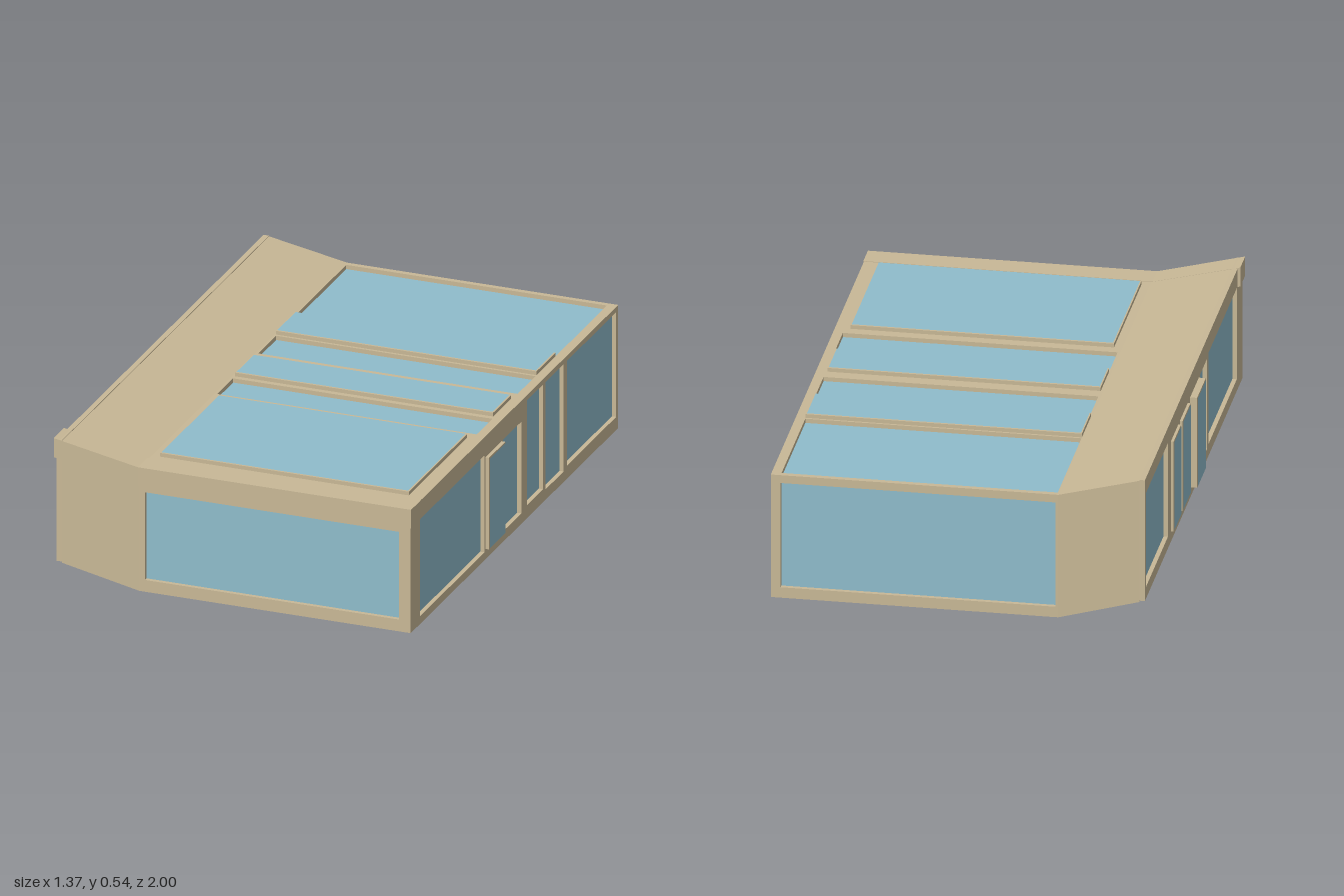
import * as THREE from 'three';

const D = 0.02; // wall thickness, also the depth of the window recesses
const wallMat = new THREE.MeshStandardMaterial({ color: 0xc8b896 });
const glassMat = new THREE.MeshStandardMaterial({ color: 0x8fbccb });

function add(parent, name, geo, mat, x = 0, y = 0, z = 0) {
  const m = new THREE.Mesh(geo, mat);
  m.name = name;
  m.position.set(x, y, z);
  parent.add(m);
  return m;
}

const rect = (C, [a, b, c, d]) =>
  new C([[a, c], [b, c], [b, d], [a, d]].map(p => new THREE.Vector2(...p)));

// Solid through rectangular sections along x: each is [x, yLow, yHigh, zBack, zFront]
function loft(sections) {
  const rings = sections.map(([x, y0, y1, z0, z1]) =>
    [[x, y0, z0], [x, y0, z1], [x, y1, z1], [x, y1, z0]]);
  const pos = [];
  const quad = (a, b, c, d) => pos.push(...a, ...b, ...c, ...a, ...c, ...d);
  for (let i = 0; i + 1 < rings.length; i++) {
    for (let k = 0; k < 4; k++) {
      const n = (k + 1) % 4;
      quad(rings[i][k], rings[i + 1][k], rings[i + 1][n], rings[i][n]);
    }
  }
  const [a, b, c, d] = rings[0];
  quad(a, b, c, d);
  const [e, f, g, h] = rings[rings.length - 1];
  quad(h, g, f, e);
  const geo = new THREE.BufferGeometry();
  geo.setAttribute('position', new THREE.Float32BufferAttribute(pos, 3));
  geo.computeVertexNormals();
  return geo;
}

// Flat wall with windows [u0, u1, v0, v1, raise]; those with a raise stand proud, the rest are recessed
function wall(name, outline, windows) {
  const g = new THREE.Group();
  g.name = name;
  const shape = rect(THREE.Shape, outline);
  for (const [u0, u1, v0, v1, raise] of windows) {
    const w = u1 - u0, h = v1 - v0, cu = (u0 + u1) / 2, cv = (v0 + v1) / 2;
    if (raise) {
      add(g, 'raisedFrame', new THREE.BoxGeometry(w, h, raise + 0.01), wallMat, cu, cv, raise / 2 - 0.005);
      add(g, 'raisedPane', new THREE.PlaneGeometry(w - 0.008, h - 0.008), glassMat, cu, cv, raise + 0.002);
    } else {
      shape.holes.push(rect(THREE.Path, [u0, u1, v0, v1]));
      add(g, 'pane', new THREE.PlaneGeometry(w, h), glassMat, cu, cv, 0.004 - D);
    }
  }
  const geo = new THREE.ExtrudeGeometry(shape, { depth: D, bevelEnabled: false });
  add(g, name + 'Panel', geo, wallMat, 0, 0, -D);
  return g;
}

export function createModel() {
  const model = new THREE.Group();
  model.name = 'building';

  // Solid core and the upswept side wing
  add(model, 'core', loft([[-0.355, 0, 0.45, -0.98, 0.955], [0.65, 0, 0.45, -0.98, 0.955]]), wallMat);
  add(model, 'wing', loft([
    [-0.64, 0.07, 0.535, -0.976, 0.994],
    [-0.355, 0, 0.47, -1, 0.975],
  ]), wallMat);

  // Front and back walls, one wide window each
  const front = wall('frontWall', [-0.355, 0.67, 0, 0.47], [[-0.335, 0.625, 0.045, 0.38]]);
  front.position.z = 0.975;

  const back = wall('backWall', [-0.67, 0.355, 0, 0.47], [[-0.635, 0.345, 0.04, 0.44]]);
  back.rotation.y = Math.PI;
  back.position.z = -1;

  // Long wall on the straight side, u runs towards the back
  const side = wall('windowWall', [-0.975, 1, 0, 0.47], [
    [-0.885, -0.272, 0.03, 0.4],
    [-0.265, -0.11, 0.04, 0.39, 0.014],
    [-0.097, 0.077, 0.04, 0.39],
    [0.13, 0.285, 0.05, 0.45],
    [0.31, 0.48, 0.04, 0.455],
    [0.51, 0.98, 0.05, 0.45],
  ]);
  side.rotation.y = Math.PI / 2;
  side.position.x = 0.67;

  // Outer wall of the wing, u runs towards the front
  const wingWall = wall('wingWall', [-0.975, 0.995, 0.075, 0.538], [
    [-0.95, -0.51, 0.12, 0.48],
    [-0.45, -0.3, 0.115, 0.46, 0.01],
    [-0.27, -0.11, 0.115, 0.46, 0.01],
    [-0.06, 0.115, 0.115, 0.46, 0.025],
    [0.135, 0.285, 0.115, 0.46],
    [0.315, 0.885, 0.12, 0.47],
  ]);
  wingWall.rotation.y = -Math.PI / 2;
  wingWall.position.x = -0.66;

  // Flat roof with skylights, v runs towards the back
  const roof = wall('roof', [-0.355, 0.67, -0.975, 1], [
    [-0.35, 0.635, 0.5, 0.99],
    [-0.35, 0.635, 0.31, 0.492, 0.014],
    [-0.345, 0.635, 0.13, 0.3],
    [-0.345, 0.63, -0.09, 0.082, 0.014],
    [-0.345, 0.635, -0.26, -0.11],
    [-0.325, 0.615, -0.855, -0.3, 0.014],
  ]);
  roof.rotation.x = -Math.PI / 2;
  roof.position.y = 0.47;

  model.add(front, back, side, wingWall, roof);

  // Eave trim wrapping the front edge of the roof
  add(model, 'eaveTrim', loft([
    [-0.67, 0.47, 0.543, 0.9, 0.998],
    [-0.36, 0.4, 0.472, 0.885, 0.977],
    [0.672, 0.4, 0.472, 0.885, 0.977],
  ]), wallMat);

  return model;
}
